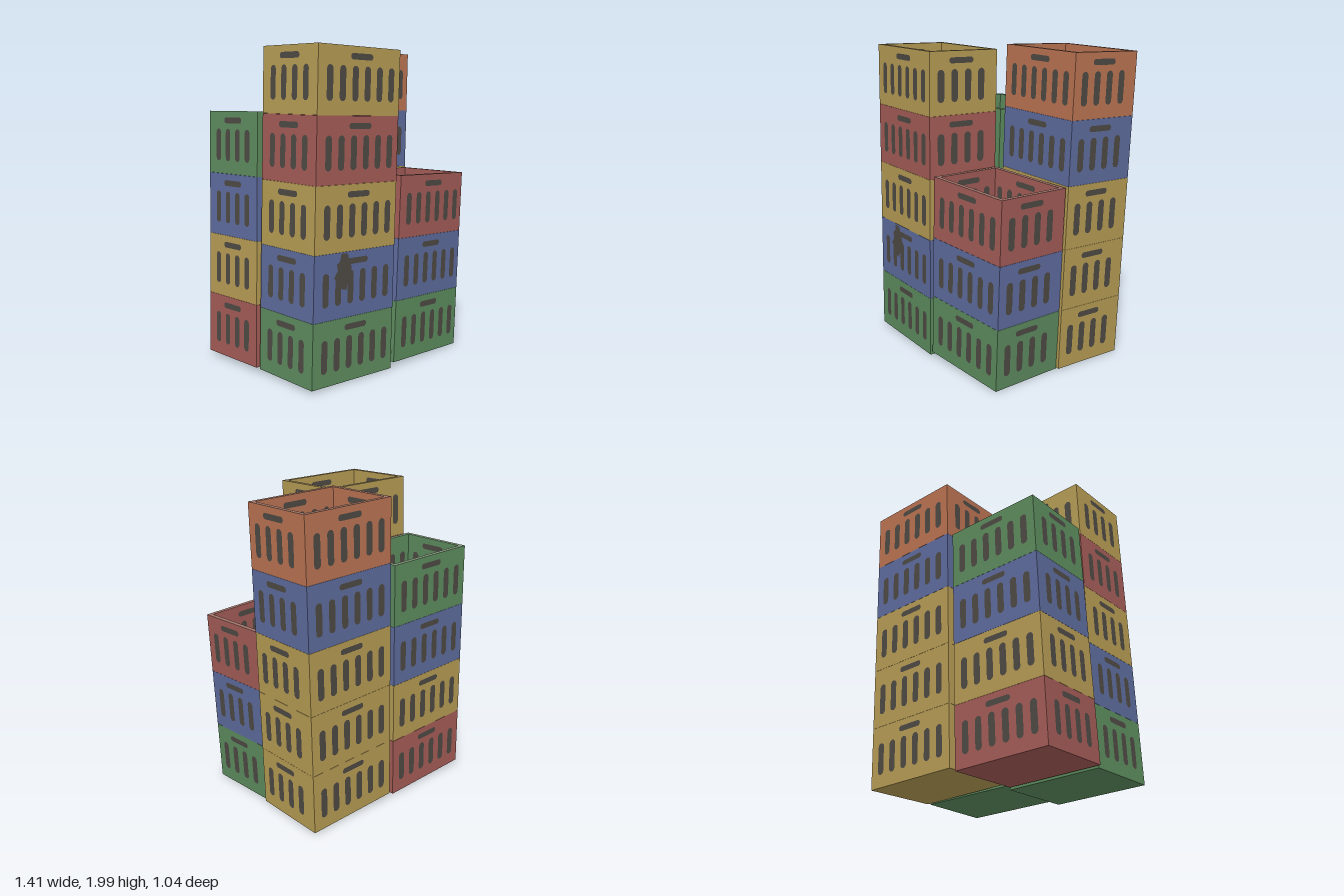
import * as THREE from 'three';
import { mergeGeometries } from 'three/addons/utils/BufferGeometryUtils.js';

const W = 0.645, D = 0.492, H = 0.391, WALL = 0.028, FLOOR = 0.025, SKIN = 0.002;

function makeMaterials() {
  const colours = {
    yellow: 0xb69c54, red: 0xa45c57, blue: 0x5e6c9e, green: 0x5d8c5e, orange: 0xbb7452, dark: 0x4e4a45,
    yellowDusty: 0x9e8b60, redDusty: 0xa0756b, greenDusty: 0x82977b, orangeDusty: 0xa3776a,
  };
  const materials = {};
  for (const [name, color] of Object.entries(colours)) {
    materials[name] = new THREE.MeshStandardMaterial({ color });
    materials[name].name = name;
  }
  return materials;
}

function rectangle(target, w, d) {
  target.moveTo(-w / 2, -d / 2);
  target.lineTo(w / 2, -d / 2);
  target.lineTo(w / 2, d / 2);
  target.lineTo(-w / 2, d / 2);
  target.closePath();
  return target;
}

// Hollow four-sided wall; the caps (rim) are material group 0, the sides group 1
function wallGeometry() {
  const shape = rectangle(new THREE.Shape(), W, D);
  shape.holes.push(rectangle(new THREE.Path(), W - 2 * WALL, D - 2 * WALL));
  return new THREE.ExtrudeGeometry(shape, { depth: H, bevelEnabled: false }).rotateX(-Math.PI / 2);
}

// Flat slot with rounded ends
function slot(w, h, x, y) {
  const r = Math.min(w, h) / 2, a = w / 2 - r, b = h / 2 - r;
  const s = new THREE.Shape();
  s.absarc(a, b, r, 0, Math.PI / 2);
  s.absarc(-a, b, r, Math.PI / 2, Math.PI);
  s.absarc(-a, -b, r, Math.PI, Math.PI * 1.5);
  s.absarc(a, -b, r, Math.PI * 1.5, Math.PI * 2);
  return new THREE.ShapeGeometry(s, 4).translate(x, y, 0);
}

// One row of upright slots with a handle slot above
function panel(count, spacing, shift) {
  const parts = [slot(0.175, 0.036, shift, 0.333)];
  for (let i = 0; i < count; i++) {
    parts.push(slot(0.047, 0.2, shift + (i - (count - 1) / 2) * spacing, 0.18));
  }
  return mergeGeometries(parts);
}

// Slots on the outer and inner faces of all four walls
function slotsGeometry() {
  const parts = [];
  for (let side = 0; side < 4; side++) {
    const half = (side % 2 ? W : D) / 2;
    const make = (shift) => (side % 2 ? panel(4, 0.098, shift) : panel(6, 0.097, shift));
    const shift = [0.008, -0.02, 0, 0][side];
    const angle = side * Math.PI / 2;
    parts.push(make(shift).translate(0, 0, half + SKIN).rotateY(angle));
    parts.push(make(-shift).rotateY(Math.PI).translate(0, 0, half - WALL - SKIN).rotateY(angle));
  }
  return mergeGeometries(parts);
}

// Irregular dark mark on one front panel
function stainGeometry() {
  const points = [
    [-0.02, 0.11], [0.03, 0.105], [0.045, 0.06], [0.065, 0.02], [0.05, -0.02], [0.06, -0.06],
    [0.03, -0.08], [0.025, -0.11], [-0.01, -0.1], [-0.05, -0.1], [-0.04, -0.05], [-0.075, -0.03],
    [-0.045, 0.01], [-0.055, 0.05], [-0.03, 0.065],
  ].map(([x, y]) => new THREE.Vector2(x, y));
  return new THREE.ShapeGeometry(new THREE.Shape(points));
}

export function createModel() {
  const model = new THREE.Group();
  model.name = 'crateStacks';
  const mats = makeMaterials();
  const walls = wallGeometry();
  const slots = slotsGeometry();
  const floor = new THREE.BoxGeometry(W - 2 * WALL, FLOOR, D - 2 * WALL).translate(0, FLOOR / 2, 0);

  function add(parent, name, geometry, material) {
    const mesh = new THREE.Mesh(geometry, material);
    mesh.name = name;
    parent.add(mesh);
    return mesh;
  }

  function crate(colour, isTop) {
    const group = new THREE.Group();
    group.name = colour + 'Crate';
    const main = mats[colour];
    const dusty = (isTop && mats[colour + 'Dusty']) || main;
    add(group, 'walls', walls, [dusty, main]);
    add(group, 'floor', floor, [main, main, dusty, main, main, main]);
    add(group, 'slots', slots, mats.dark);
    return group;
  }

  // Leaning stacks: base position, rotation, colours from the bottom up,
  // and clean patches on the top crate's floor as [x, z, radius x, radius z]
  const stacks = [
    {
      name: 'frontRightStack', position: [-0.376, 0.012, 0.265], rotation: [0, -0.036, -0.031],
      crates: ['green', 'blue', 'yellow', 'red', 'yellow'],
      patches: [[-0.17, 0.03, 0.045, 0.035], [-0.11, -0.1, 0.02, 0.025], [-0.05, -0.06, 0.025, 0.02],
        [0.08, 0.03, 0.045, 0.03], [0.16, -0.09, 0.025, 0.03], [0.04, -0.02, 0.02, 0.02]],
    },
    {
      name: 'frontLeftStack', position: [0.278, 0.018, 0.267], rotation: [0, 0.036, -0.047],
      crates: ['green', 'blue', 'red'],
      patches: [[-0.08, -0.03, 0.012, 0.012]],
    },
    {
      name: 'backLeftStack', position: [0.298, 0.018, -0.24], rotation: [-0.013, -0.02, -0.038],
      crates: ['yellow', 'yellow', 'yellow', 'blue', 'orange'],
      patches: [[-0.07, -0.08, 0.04, 0.055], [0.03, -0.06, 0.04, 0.035], [-0.21, 0.07, 0.022, 0.045],
        [-0.04, 0.14, 0.08, 0.025], [0.19, -0.09, 0.03, 0.015], [0.12, 0.07, 0.015, 0.015]],
    },
    {
      name: 'backRightStack', position: [-0.382, 0.018, -0.245], rotation: [-0.014, -0.015, -0.035],
      crates: ['red', 'yellow', 'blue', 'green'],
      patches: [[0.04, -0.04, 0.038, 0.04], [-0.09, 0.01, 0.023, 0.022], [-0.16, 0.09, 0.033, 0.024]],
    },
  ];

  for (const { name, position, rotation, crates, patches } of stacks) {
    const stack = new THREE.Group();
    stack.name = name;
    stack.position.set(...position);
    stack.rotation.set(...rotation);
    crates.forEach((colour, i) => {
      const isTop = i === crates.length - 1;
      const box = crate(colour, isTop);
      box.position.y = i * (H + 0.001);
      if (isTop) {
        for (const [x, z, rx, rz] of patches) {
          const patch = new THREE.CircleGeometry(1, 14).rotateX(-Math.PI / 2).scale(rx, 1, rz);
          add(box, 'floorPatch', patch, mats[colour]).position.set(x, FLOOR + SKIN, z);
        }
      }
      if (name === 'frontRightStack' && i === 1) {
        add(box, 'stain', stainGeometry(), mats.dark).position.set(-0.1, 0.275, D / 2 + 2 * SKIN);
      }
      stack.add(box);
    });
    model.add(stack);
  }
  return model;
}
